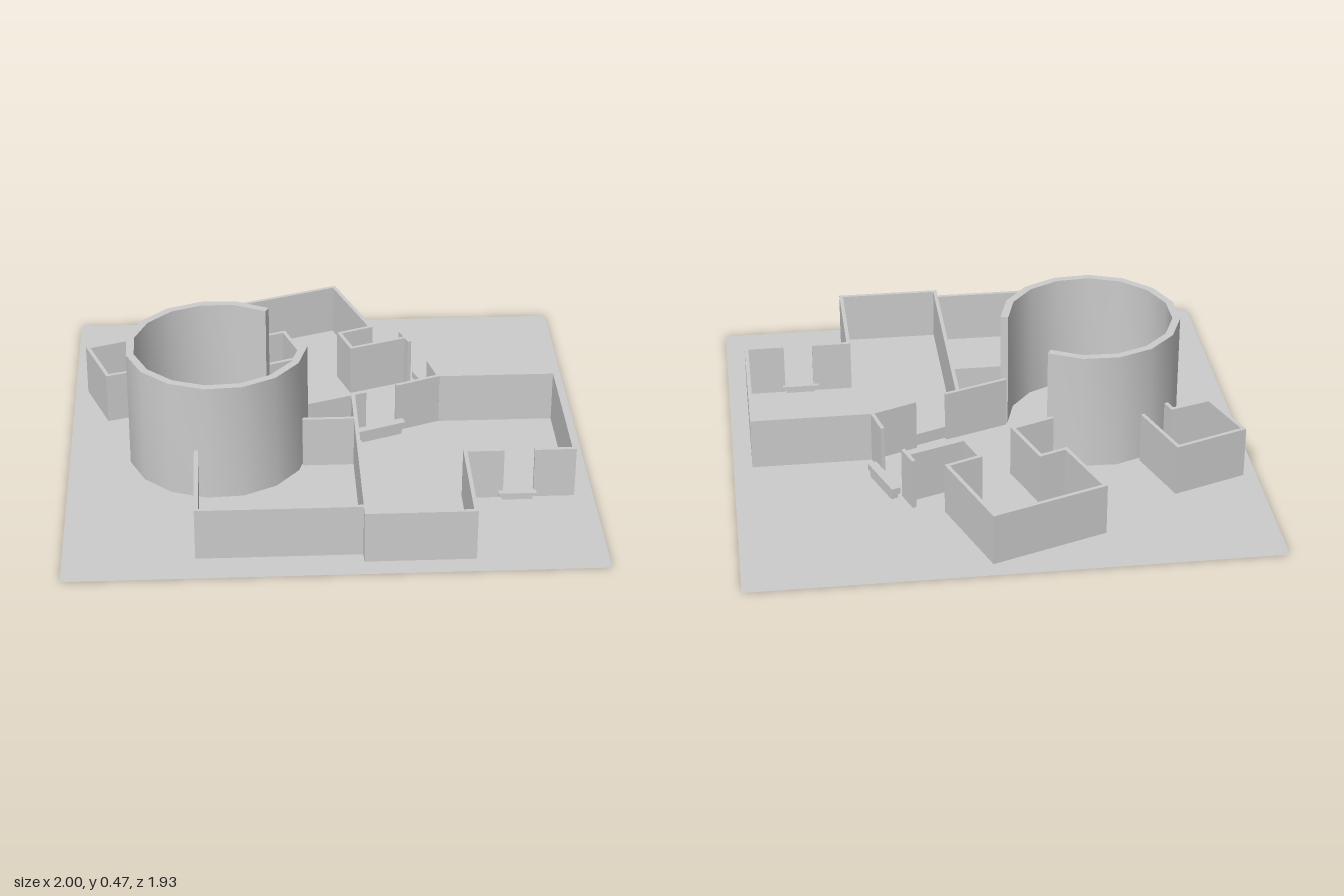
import * as THREE from 'three';
import { toCreasedNormals } from 'three/addons/utils/BufferGeometryUtils.js';

const material = new THREE.MeshStandardMaterial({ color: 0xcccccc });
const WALL_HEIGHT = 0.206;
const WALL_THICKNESS = 0.015;

// Points of a line of [x, z] pairs, moved sideways with mitred corners
function offsetLine(points, distance) {
  const pts = points.map(([x, z]) => new THREE.Vector2(x, -z));
  const normal = (a, b) => {
    const d = b.clone().sub(a).normalize();
    return new THREE.Vector2(-d.y, d.x);
  };
  return pts.map((p, i) => {
    const before = i > 0 ? normal(pts[i - 1], p) : normal(p, pts[i + 1]);
    const after = i < pts.length - 1 ? normal(p, pts[i + 1]) : before;
    const miter = before.clone().add(after).normalize();
    return p.clone().addScaledVector(miter, distance / miter.dot(before));
  });
}

// Upright wall that follows a line on the ground
function wall(name, points, thickness = WALL_THICKNESS, height = WALL_HEIGHT) {
  const outline = [
    ...offsetLine(points, thickness / 2),
    ...offsetLine(points, -thickness / 2).reverse(),
  ];
  const geometry = new THREE.ExtrudeGeometry(new THREE.Shape(outline), { depth: height, bevelEnabled: false });
  geometry.rotateX(-Math.PI / 2);
  const mesh = new THREE.Mesh(toCreasedNormals(geometry, 0.6), material);
  mesh.name = name;
  return mesh;
}

// Door step: a slab on a slightly smaller base
function doorStep(name, x, z, length, width, height, angle) {
  const step = new THREE.Group();
  step.name = name;
  const base = new THREE.Mesh(new THREE.BoxGeometry(length - 0.03, height / 2, width * 0.8), material);
  base.name = 'stepBase';
  base.position.y = height / 4;
  const slab = new THREE.Mesh(new THREE.BoxGeometry(length, height / 2, width), material);
  slab.name = 'stepSlab';
  slab.position.y = height * 0.75;
  step.add(base, slab);
  step.position.set(x, 0, z);
  step.rotation.y = angle;
  return step;
}

export function createModel() {
  const model = new THREE.Group();
  model.name = 'floorPlanBuilding';

  // Ground sheet
  const groundMaterial = material.clone();
  groundMaterial.side = THREE.DoubleSide;
  const ground = new THREE.Mesh(new THREE.PlaneGeometry(2, 1.935).rotateX(-Math.PI / 2), groundMaterial);
  ground.name = 'groundSheet';
  model.add(ground);

  // Round tower, open towards the hall
  const segments = 13;
  const arc = [];
  for (let i = 0; i <= segments; i++) {
    const a = THREE.MathUtils.degToRad(5 + (302 * i) / segments);
    arc.push([-0.42 + 0.336 * Math.cos(a), 0.08 + 0.336 * Math.sin(a)]);
  }
  model.add(wall('roundTower', arc, 0.03, 0.475));

  // Small room and large room behind the hall
  model.add(wall('smallBackRoom', [
    [-0.684, -0.17], [-0.70, -0.217], [-0.855, -0.17], [-0.94, -0.40], [-0.668, -0.497], [-0.578, -0.245],
  ]));
  model.add(wall('largeBackRoom', [
    [-0.23, -0.225], [-0.068, -0.286], [-0.144, -0.498], [-0.246, -0.46], [-0.348, -0.736],
    [0.08, -0.886], [0.212, -0.526], [0.083, -0.476], [0.126, -0.35], [0.348, -0.428],
  ]));

  // Hall walls around its doorways
  model.add(wall('hallBackDoorJamb', [[0.332, -0.48], [0.364, -0.39]]));
  model.add(wall('hallFrontWall', [[-0.09, 0.095], [0.16, 0.008]]));
  model.add(wall('hallCornerWall', [[0.283, -0.04], [0.457, -0.108], [0.427, -0.228]]));

  // Left-hand room, with a doorway in its front wall
  model.add(wall('leftRoomSideWall', [[0.46, -0.107], [0.92, -0.107], [0.92, 0.468], [0.77, 0.468]]));
  model.add(wall('leftRoomFrontWall', [[0.655, 0.468], [0.507, 0.468], [0.507, 0.88], [0.11, 0.88], [0.11, 0.03]]));

  // Front room beside the tower
  model.add(wall('frontRoomInnerWall', [[-0.095, 0.205], [0.11, 0.205]]));
  model.add(wall('frontRoomOuterWall', [[-0.505, 0.42], [-0.505, 0.832], [0.11, 0.832]]));

  // Door steps
  model.add(doorStep('frontDoorStep', 0.708, 0.472, 0.145, 0.055, 0.03, 0));
  model.add(doorStep('hallSideStep', 0.433, -0.32, 0.215, 0.035, 0.052, -1.21));
  model.add(doorStep('hallInnerStep', 0.222, 0.008, 0.2, 0.035, 0.052, 0.36));

  return model;
}
